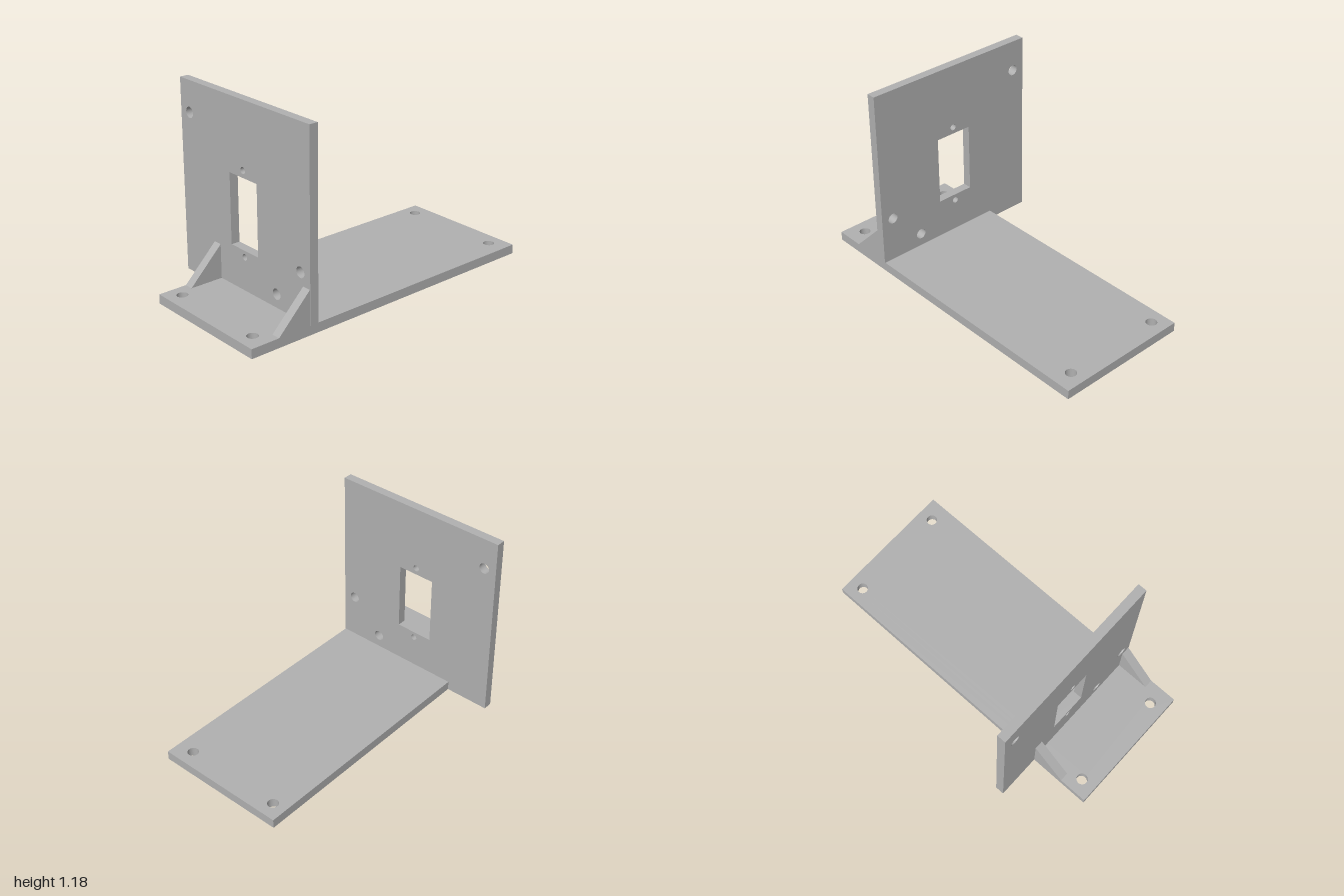
import * as THREE from 'three';

const T = 0.055; // sheet thickness

function outline(points) {
  return new THREE.Shape(points.map(([x, y]) => new THREE.Vector2(x, y)));
}

function drill(shape, x, y, r) {
  const hole = new THREE.Path();
  hole.absarc(x, y, r, 0, Math.PI * 2, true);
  shape.holes.push(hole);
}

function extrude(shape, depth) {
  return new THREE.ExtrudeGeometry(shape, { depth, bevelEnabled: false, curveSegments: 24 });
}

export function createModel() {
  const group = new THREE.Group();
  const grey = new THREE.MeshStandardMaterial({ color: 0xb0b0b0 });
  grey.name = 'grey';
  const add = (name, geometry) => {
    const mesh = new THREE.Mesh(geometry, grey);
    mesh.name = name;
    group.add(mesh);
  };

  // Base plate with a screw hole in each corner, drawn in x and z
  const base = outline([[-1, -0.28], [1, -0.28], [1, 0.557], [-1, 0.557]]);
  for (const x of [-0.907, 0.907]) {
    for (const z of [-0.19, 0.445]) drill(base, x, z, 0.033);
  }
  add('basePlate', extrude(base, 0.057).rotateX(Math.PI / 2).translate(0, 0.057, 0));

  // Upright plate, notched over the base, drawn in z and y
  const wall = outline([
    [-0.56, 0], [-0.28, 0], [-0.28, 0.057], [0.56, 0.057], [0.56, 1.178], [-0.56, 1.178],
  ]);
  wall.holes.push(outline([[-0.12, 0.302], [-0.12, 0.732], [0.12, 0.732], [0.12, 0.302]]));
  for (const [z, y, r] of [
    [0, 0.775, 0.02], [0, 0.262, 0.02],
    [-0.48, 0.987, 0.033], [0.48, 0.341, 0.033], [0.277, 0.138, 0.033],
  ]) drill(wall, z, y, r);
  add('uprightPlate', extrude(wall, T).rotateY(-Math.PI / 2).translate(-0.555, 0, 0));

  // Triangular braces behind the upright plate, flush with the base sides
  const brace = outline([[-0.82, 0.057], [-0.61, 0.057], [-0.61, 0.267]]);
  add('backBrace', extrude(brace, T).translate(0, 0, -0.28));
  add('frontBrace', extrude(brace, T).translate(0, 0, 0.557 - T));

  return group;
}
